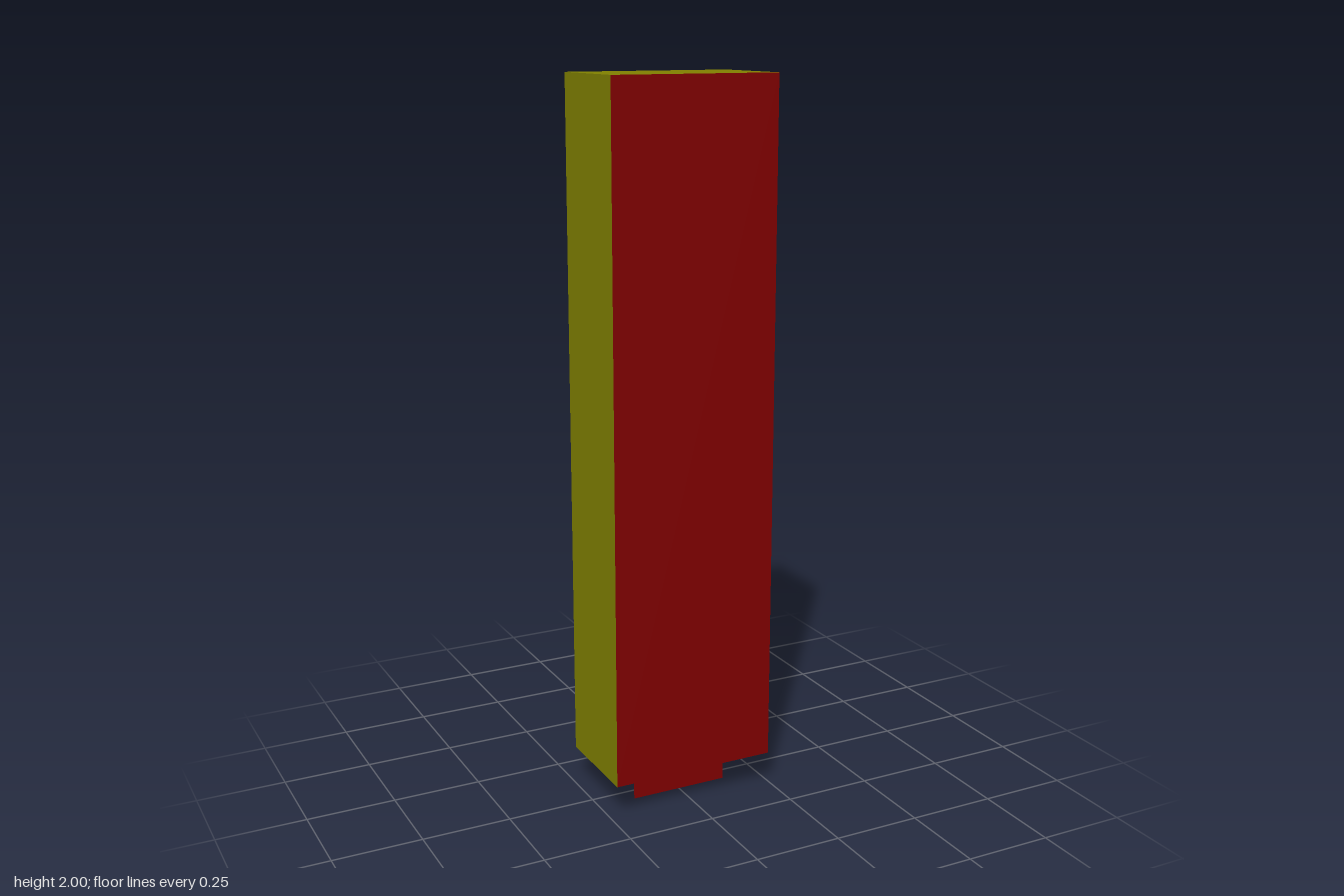
import * as THREE from 'three';

const WIDTH = 0.476, DEPTH = 0.284, BASE = 0.1, TOP = 2;
const TAB_WIDTH = 0.284, TAB_DEPTH = 0.094;

const paint = (color, side = THREE.FrontSide) =>
  new THREE.MeshStandardMaterial({ color, side });

function addMesh(group, name, geometry, material, x, y, z) {
  const mesh = new THREE.Mesh(geometry, material);
  mesh.name = name;
  mesh.position.set(x, y, z);
  group.add(mesh);
  return mesh;
}

export function createModel() {
  const group = new THREE.Group();
  group.name = 'slab';

  // Tall body: olive sides, red front, grey back
  const olive = paint(0x808000), red = paint(0x800000), grey = paint(0x808080);
  addMesh(group, 'body', new THREE.BoxGeometry(WIDTH, TOP - BASE, DEPTH),
    [olive, olive, olive, olive, red, grey], 0, (TOP + BASE) / 2, 0);

  // Thin upright flap hanging below the body
  addMesh(group, 'bottomFlap', new THREE.PlaneGeometry(TAB_WIDTH, BASE),
    paint(0x800000, THREE.DoubleSide), 0, BASE / 2, TAB_DEPTH / 2);

  // Light grey plate on the underside, behind the flap
  const plate = addMesh(group, 'undersidePlate', new THREE.PlaneGeometry(TAB_WIDTH, TAB_DEPTH),
    paint(0xcccccc, THREE.DoubleSide), 0, BASE - 0.001, 0);
  plate.rotation.x = Math.PI / 2;

  return group;
}
